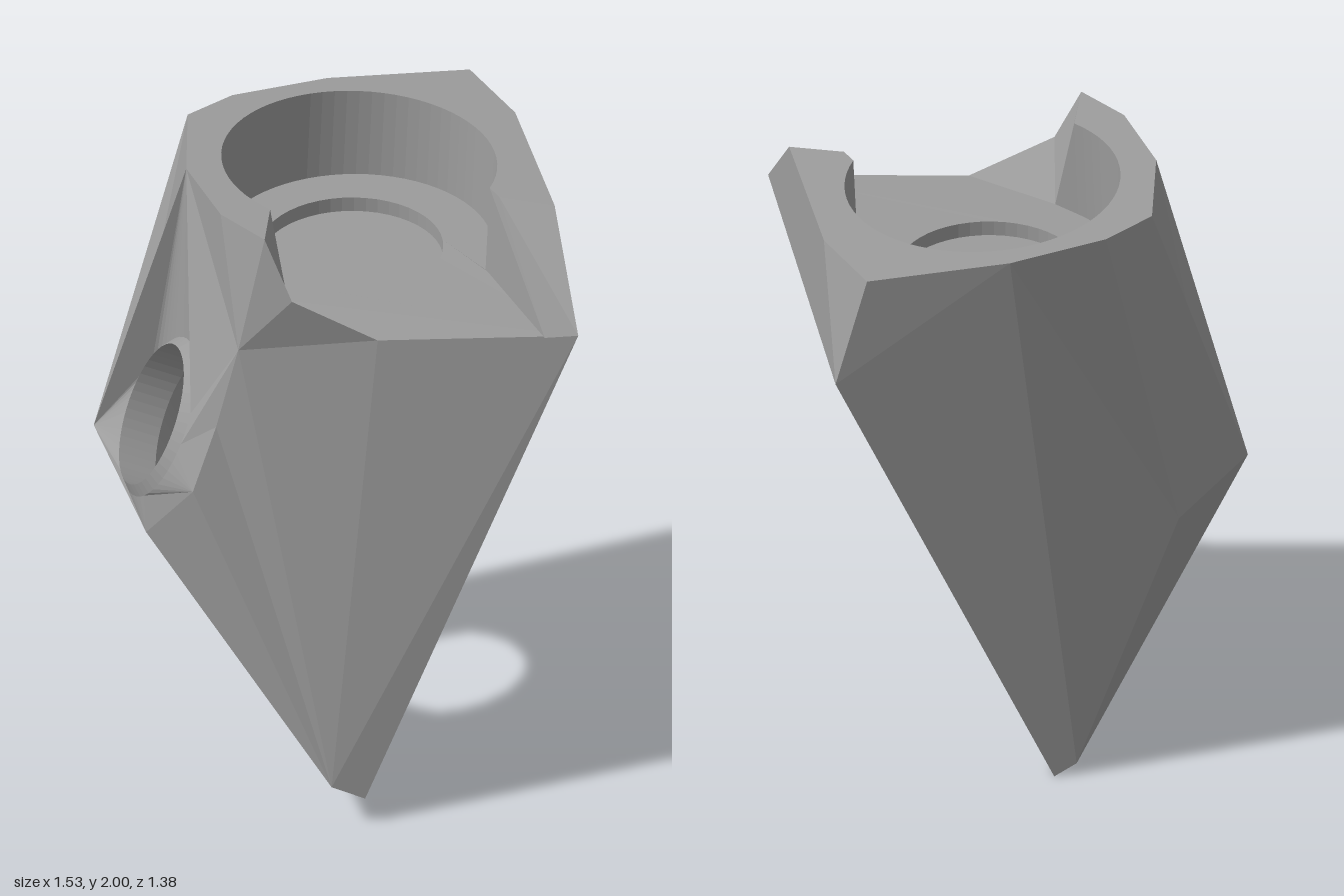
import * as THREE from 'three';

const V = (x, y, z) => new THREE.Vector3(x, y, z);
const material = new THREE.MeshStandardMaterial({ color: 0x9c9c9c, flatShading: true, side: THREE.DoubleSide });

// Flat polygons given as corner loops, split into fans
const fan = (...p) => {
  const out = [];
  for (let i = 1; i < p.length - 1; i++) out.push(p[0], p[i], p[i + 1]);
  return out;
};

// Fill a loop (with optional hole loop) after projecting it to two axes
function fill(loop, hole, a, b) {
  const flat = (pts) => pts.map((p) => new THREE.Vector2(p.dot(a), p.dot(b)));
  const all = hole ? [...loop, ...hole] : loop;
  return THREE.ShapeUtils.triangulateShape(flat(loop), hole ? [flat(hole)] : []).flat().map((i) => all[i]);
}

// Strip between two rows of points
function strip(r, s, closed = false) {
  const out = [];
  const n = r.length;
  for (let i = 0; i < (closed ? n : n - 1); i++) {
    const j = (i + 1) % n;
    out.push(...fan(r[i], r[j], s[j], s[i]));
  }
  return out;
}

export function createModel() {
  const group = new THREE.Group();
  const add = (name, points) => {
    const geometry = new THREE.BufferGeometry().setFromPoints(points);
    geometry.computeVertexNormals();
    const mesh = new THREE.Mesh(geometry, material);
    mesh.name = name;
    group.add(mesh);
  };
  const X = V(1, 0, 0), Y = V(0, 1, 0), Z = V(0, 0, 1);

  // Corners of the slanted rectangular opening and its local frame
  const A = V(0.41, 1.66, 0.69), B = V(0.765, 1.57, -0.465);
  const C = V(0.04, 0, -0.58), D = V(-0.31, 0.09, 0.59);
  const origin = A.clone().add(C).multiplyScalar(0.5);
  const u = B.clone().sub(A).normalize();
  const n = u.clone().cross(A.clone().sub(D)).normalize();
  const v = n.clone().cross(u);
  const local = (a, b, d) => origin.clone().addScaledVector(u, a).addScaledVector(v, b).addScaledVector(n, d);

  // Outer corners of the body
  const C2 = V(-0.03, 0.04, -0.6), D2 = V(-0.41, 0.14, 0.55);
  const E = V(-0.35, 0.9, -0.69), F = V(-0.67, 0.98, -0.55), N = V(-0.76, 0.88, -0.04);
  const G = V(-0.7, 1.12, 0.16), J = V(-0.61, 1.33, 0.15), K = V(-0.535, 1.6, 0.16);
  const H = V(-0.5, 1.5, -0.47);

  // Tilted rim outline
  const rimAt = (x, z) => V(x, 1.975 - 0.052 * x, z);
  const R = [[-0.45, 0.18], [-0.5, -0.02], [-0.46, -0.32], [-0.29, -0.62], [-0.1, -0.67],
    [0.23, -0.64], [0.67, -0.5], [0.67, -0.2], [0.5, 0.37]].map((p) => rimAt(...p));

  // Cup recess, open at the front
  const floorY = 1.655;
  const cupTop = [], cupFloor = [];
  for (let i = 0; i <= 48; i++) {
    const t = THREE.MathUtils.degToRad(48 - (249 * i) / 48);
    const x = 0.07 + 0.44 * Math.cos(t), z = -0.14 + 0.44 * Math.sin(t);
    cupTop.push(rimAt(x, z));
    cupFloor.push(V(x - 0.015, floorY, z));
  }
  const endTop = cupTop[48], endFloor = cupFloor[48];
  const S = rimAt(0.365, 0.25), Q = V(0.31, 1.66, 0.65);
  const W = V(-0.32, floorY, 0.11), L1 = V(-0.16, floorY, 0.4), L2 = V(-0.4, 1.8, 0.27);

  const ring = (r, y) => Array.from({ length: 48 }, (_, i) => {
    const t = (i / 48) * Math.PI * 2;
    return V(0.05 + r * Math.cos(t), y, -0.15 + r * Math.sin(t));
  });
  const seatTop = ring(0.29, floorY), seatBottom = ring(0.29, floorY - 0.05);

  add('cupRim', fill([...R, S, ...cupTop], null, X, Z));
  add('cupWall', strip(cupTop, cupFloor));
  add('cupFloor', fill([...cupFloor, W, L1, A, Q], seatTop, X, Z));
  add('seatWall', strip(seatTop, seatBottom, true));
  add('seatFloor', fan(...seatBottom));
  add('notchRight', [...fan(cupTop[0], S, Q, cupFloor[0]), ...fan(S, R[8], A, Q)]);
  add('notchLeft', [...fan(endTop, endFloor, W), ...fan(R[0], endTop, W), ...fan(R[0], W, L2), ...fan(L2, W, L1)]);

  // Outer walls
  add('frontWall', fill([A, L1, L2, R[0], K, J, G, D2, D], null, X, Y));
  add('backWall', [
    ...fan(E, F, R[3], R[4], R[5]), ...fan(C2, E, R[5]), ...fan(C2, R[5], B, C), ...fan(R[5], R[6], B),
  ]);
  add('rightWall', [...fan(B, R[6], R[7]), ...fan(A, B, R[7], R[8])]);
  add('lowerWall', [...fan(C2, E, F), ...fan(C2, F, D2), ...fan(F, N, D2), ...fan(D2, N, G)]);

  // Round port with a bevelled lip, parallel to the rectangular opening
  const P = V(-0.65, 1.2, -0.205).sub(origin);
  const pa = P.dot(u), pb = P.dot(v), pd = P.dot(n);
  const circle = (r, d) => Array.from({ length: 48 }, (_, i) => {
    const t = (i / 48) * Math.PI * 2;
    return local(pa + r * Math.cos(t), pb + r * Math.sin(t), d);
  });
  const portOuter = circle(0.234, pd), portInner = circle(0.234, pd + 0.13), portLip = circle(0.265, pd + 0.03);
  add('portSurround', [
    ...fill([G, J, K, R[0], R[1], R[2], H, F, N], portLip, u, v),
    ...fan(R[2], R[3], H), ...fan(R[3], F, H),
  ]);
  add('portLip', strip(portLip, portOuter, true));
  add('portBore', strip(portOuter, portInner, true));

  // Frame around the opening, with a recessed bottom lip
  const w = 0.542, top = 0.735, low = -0.77, base = -0.865, rec = -0.055;
  const legs = [local(w, base, 0), local(w, top, 0), local(-w, top, 0), local(-w, base, 0)];
  const back = [local(w, base, rec), local(w, top, rec), local(-w, top, rec), local(-w, base, rec)];
  add('openingFrame', fill([A, B, C, ...legs, D], null, u, v));
  add('frameInnerEdge', strip(legs, back));
  const lip = [local(w, low, rec), local(-w, low, rec)];
  add('bottomLip', fan(back[0], lip[0], lip[1], back[3]));
  add('underside', fill([D, legs[3], back[3], back[0], legs[0], C, C2, D2], null, u, n));

  // Inside duct: rectangle blending to the round port
  const corners = [back[1], back[2], lip[1], lip[0]];
  const duct = [];
  for (let q = 0; q < 4; q++) {
    for (let i = q * 12; i < q * 12 + 12; i++) duct.push(corners[q], portInner[i], portInner[(i + 1) % 48]);
    duct.push(corners[q], portInner[(q * 12 + 12) % 48], corners[(q + 1) % 4]);
  }
  add('innerDuct', duct);

  return group;
}
